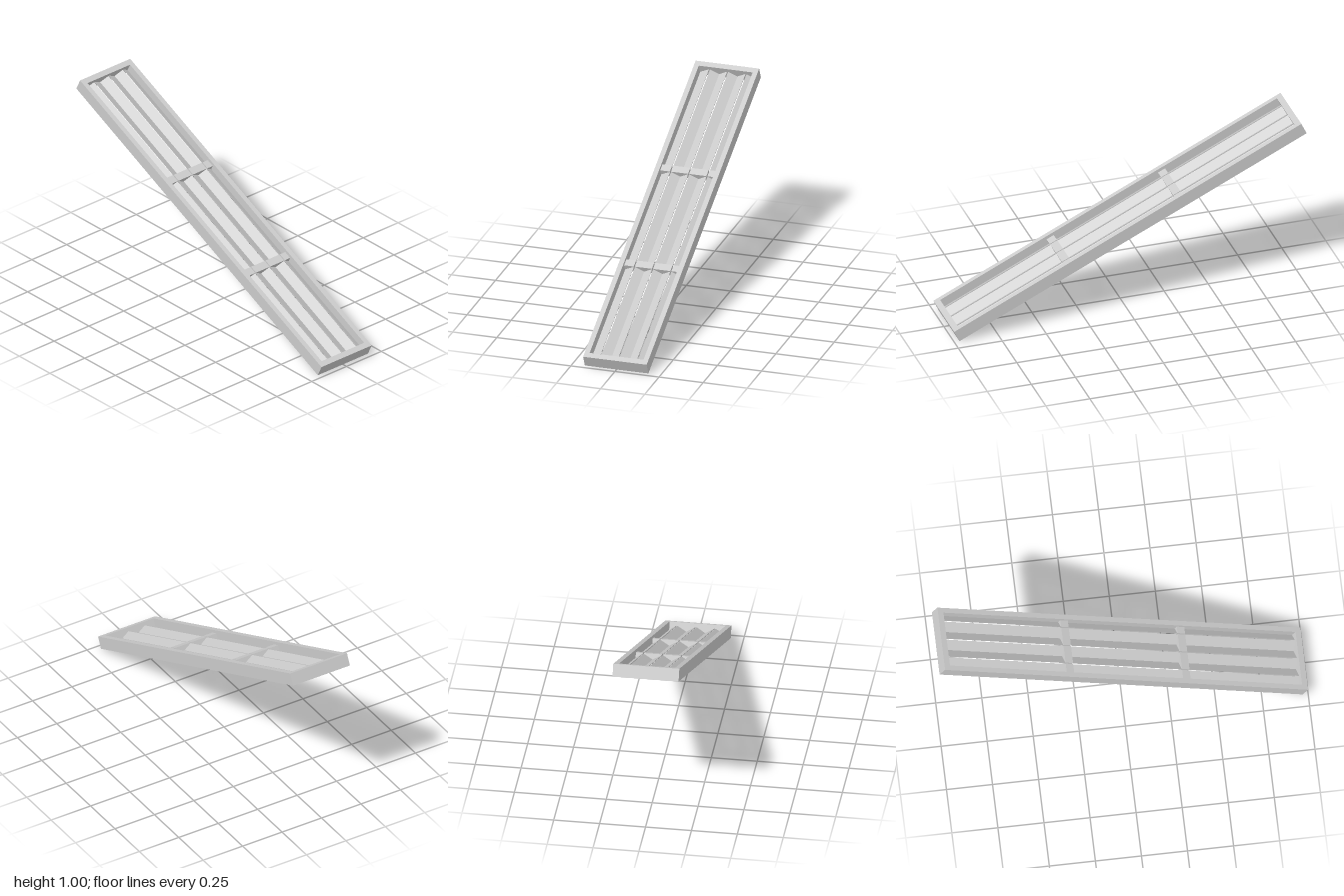
import * as THREE from 'three';

const LENGTH = 2.183, WIDTH = 0.36, THICK = 0.0697, BORDER = 0.0275, END = 0.033;
const TILT = THREE.MathUtils.degToRad(25.5);

export function createModel() {
  const model = new THREE.Group();
  model.name = 'tiltedLouverPanel';
  const panel = new THREE.Group();
  panel.name = 'panel';
  panel.rotation.z = -TILT;
  panel.position.y = (LENGTH * Math.sin(TILT) + THICK * Math.cos(TILT)) / 2;
  model.add(panel);

  const material = new THREE.MeshStandardMaterial({ color: 0xcccccc, flatShading: true });
  const add = (name, geometry, x = 0, y = 0, z = 0) => {
    const mesh = new THREE.Mesh(geometry, material);
    mesh.name = name;
    mesh.position.set(x, y, z);
    panel.add(mesh);
  };

  // Rectangular frame with an open middle
  const rectangle = (Type, a, b) => {
    const path = new Type();
    path.moveTo(-a, -b).lineTo(a, -b).lineTo(a, b).lineTo(-a, b).closePath();
    return path;
  };
  const innerX = LENGTH / 2 - END, innerZ = WIDTH / 2 - BORDER;
  const outline = rectangle(THREE.Shape, LENGTH / 2, WIDTH / 2);
  outline.holes.push(rectangle(THREE.Path, innerX, innerZ));
  const frame = new THREE.ExtrudeGeometry(outline, { depth: THICK, bevelEnabled: false });
  frame.rotateX(-Math.PI / 2);
  add('frame', frame, 0, -THICK / 2);

  // V-shaped slats, separated by narrow slits along their raised edges
  const HIGH = 0.0145, LOW = -0.0135, SKIN = 0.004, SLIT = 0.003;
  const ridges = [0.095, -0.008, -0.112];
  const slat = (name, profile) => {
    // profile: [z, y] points of the upper surface, from +z to -z
    const shape = new THREE.Shape([
      ...profile.map(([z, y]) => new THREE.Vector2(-z, y)),
      ...profile.slice().reverse().map(([z, y]) => new THREE.Vector2(-z, y - SKIN)),
    ]);
    const geometry = new THREE.ExtrudeGeometry(shape, { depth: innerX * 2, bevelEnabled: false });
    geometry.rotateY(Math.PI / 2);
    add(name, geometry, -innerX);
  };
  slat('frontHalfSlat', [[innerZ - 0.002, LOW], [ridges[0] + SLIT, HIGH]]);
  for (let i = 0; i < 2; i++) {
    const a = ridges[i] - SLIT, b = ridges[i + 1] + SLIT;
    slat('slat' + (i + 1), [[a, HIGH], [(a + b) / 2, LOW], [b, HIGH]]);
  }
  slat('backHalfSlat', [[ridges[2] - SLIT, HIGH], [-innerZ + 0.001, LOW + 0.004]]);

  // Cross bars, broken at the slits
  const edges = [innerZ, ...ridges, -innerZ];
  for (const x of [-0.325, 0.375]) {
    for (let i = 0; i < edges.length - 1; i++) {
      const a = edges[i] - (i > 0 ? SLIT : 0);
      const b = edges[i + 1] + (i < edges.length - 2 ? SLIT : 0);
      add('crossBar', new THREE.BoxGeometry(0.045, 0.036, a - b), x, 0, (a + b) / 2);
    }
  }
  return model;
}
